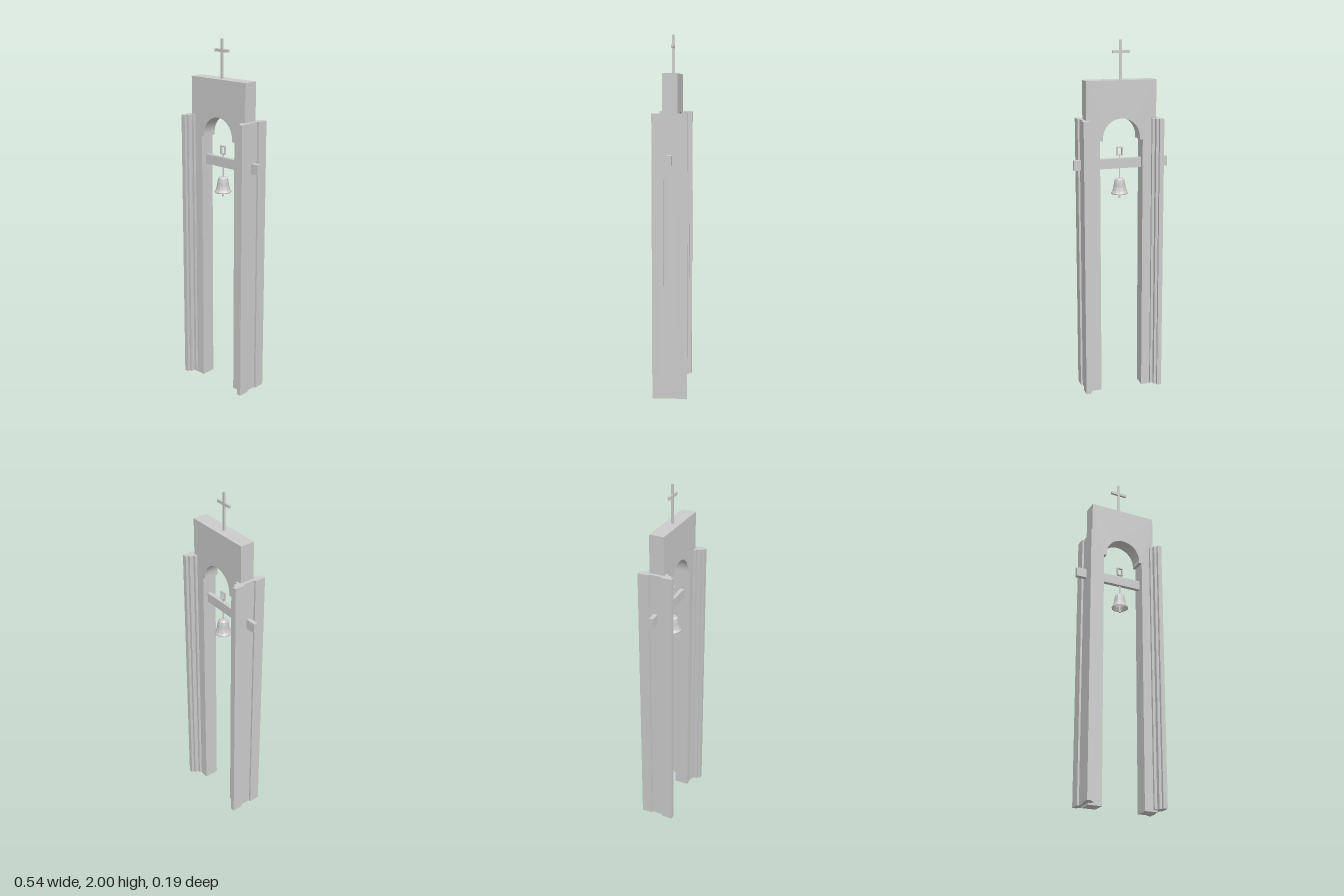
import * as THREE from 'three';

export function createModel() {
  const root = new THREE.Group();
  const mat = new THREE.MeshStandardMaterial({ color: 0xcccccc, flatShading: true, side: THREE.DoubleSide });
  const CX = 0.006; // centre line of the arch and bell

  const add = (name, geo, x = 0, y = 0, z = 0, parent = root) => {
    const mesh = new THREE.Mesh(geo, mat);
    mesh.name = name;
    mesh.position.set(x, y, z);
    parent.add(mesh);
    return mesh;
  };
  const box = (name, x0, x1, y0, y1, z0, z1, parent = root) =>
    add(name, new THREE.BoxGeometry(x1 - x0, y1 - y0, z1 - z0),
      (x0 + x1) / 2, (y0 + y1) / 2, (z0 + z1) / 2, parent);

  // Tall slab: two legs joined by a round arch with small ledges at its springing
  const H = 0.198, LEG = 0.122, R = 0.105, SPRING = 1.465;
  const s = new THREE.Shape();
  s.moveTo(-H, 0);
  s.lineTo(-LEG, 0);
  s.lineTo(-LEG, SPRING);
  s.lineTo(-R, SPRING);
  s.lineTo(-R, SPRING + 0.014);
  s.absarc(0, SPRING + 0.014, R, Math.PI, 0, true);
  s.lineTo(R, SPRING);
  s.lineTo(LEG, SPRING);
  s.lineTo(LEG, 0);
  s.lineTo(H, 0);
  s.lineTo(H, 1.79);
  s.lineTo(-H, 1.79);
  add('archWall', new THREE.ExtrudeGeometry(s, { depth: 0.083, bevelEnabled: false, curveSegments: 24 }),
    CX, 0, -0.042);

  // Stepped pilasters on both sides, with a shallow groove on the outer face
  const half = [[0.216, 0.034], [0.227, 0.034], [0.227, 0.096], [0.202, 0.096],
    [0.202, 0.08], [0.187, 0.08], [0.187, 0.056], [0.172, 0.056]];
  const outline = [...half, ...half.map(([x, z]) => [x, -z]).reverse()];
  for (const side of [-1, 1]) {
    const shape = new THREE.Shape(outline.map(([x, z]) => new THREE.Vector2(side * x, z)));
    const geo = new THREE.ExtrudeGeometry(shape, { depth: 1.57, bevelEnabled: false });
    geo.rotateX(-Math.PI / 2);
    add(side > 0 ? 'leftPilaster' : 'rightPilaster', geo, CX, 0.01, -0.001);
  }

  // Beam carrying the bell
  box('bellBeam', -0.27, 0.267, 1.305, 1.36, -0.013, 0.011);

  // Cross on the roof
  const cross = new THREE.Group();
  cross.name = 'cross';
  root.add(cross);
  box('crossPost', -0.008, 0.003, 1.785, 2, -0.007, 0.004, cross);
  box('crossArm', -0.051, 0.046, 1.93, 1.945, -0.007, 0.006, cross);

  // Hanging bell: hollow twelve-sided body, rod, clapper and rectangular loop
  const bell = new THREE.Group();
  bell.name = 'bell';
  bell.position.set(CX - 0.001, 0, -0.001);
  root.add(bell);
  const profile = [[0, 1.25], [0.018, 1.249], [0.027, 1.24], [0.031, 1.222], [0.034, 1.198],
    [0.04, 1.178], [0.048, 1.165], [0.047, 1.16], [0.043, 1.163], [0.034, 1.182],
    [0.029, 1.205], [0.025, 1.234], [0, 1.242]].map(([r, y]) => new THREE.Vector2(r, y));
  add('bellBody', new THREE.LatheGeometry(profile, 12, Math.PI / 12), 0, 0, 0, bell);
  add('bellRod', new THREE.CylinderGeometry(0.004, 0.004, 0.24, 8), 0, 1.257, 0, bell);
  add('clapper', new THREE.CylinderGeometry(0.005, 0.006, 0.03, 8), 0, 1.15, 0, bell);

  const loop = new THREE.Shape([[-0.017, 0], [0.017, 0], [0.017, 0.048], [-0.017, 0.048]]
    .map(p => new THREE.Vector2(...p)));
  loop.holes.push(new THREE.Path([[-0.011, 0.006], [-0.011, 0.042], [0.011, 0.042], [0.011, 0.006]]
    .map(p => new THREE.Vector2(...p))));
  add('hangingLoop', new THREE.ExtrudeGeometry(loop, { depth: 0.012, bevelEnabled: false }),
    0, 1.375, -0.006, bell);

  return root;
}
